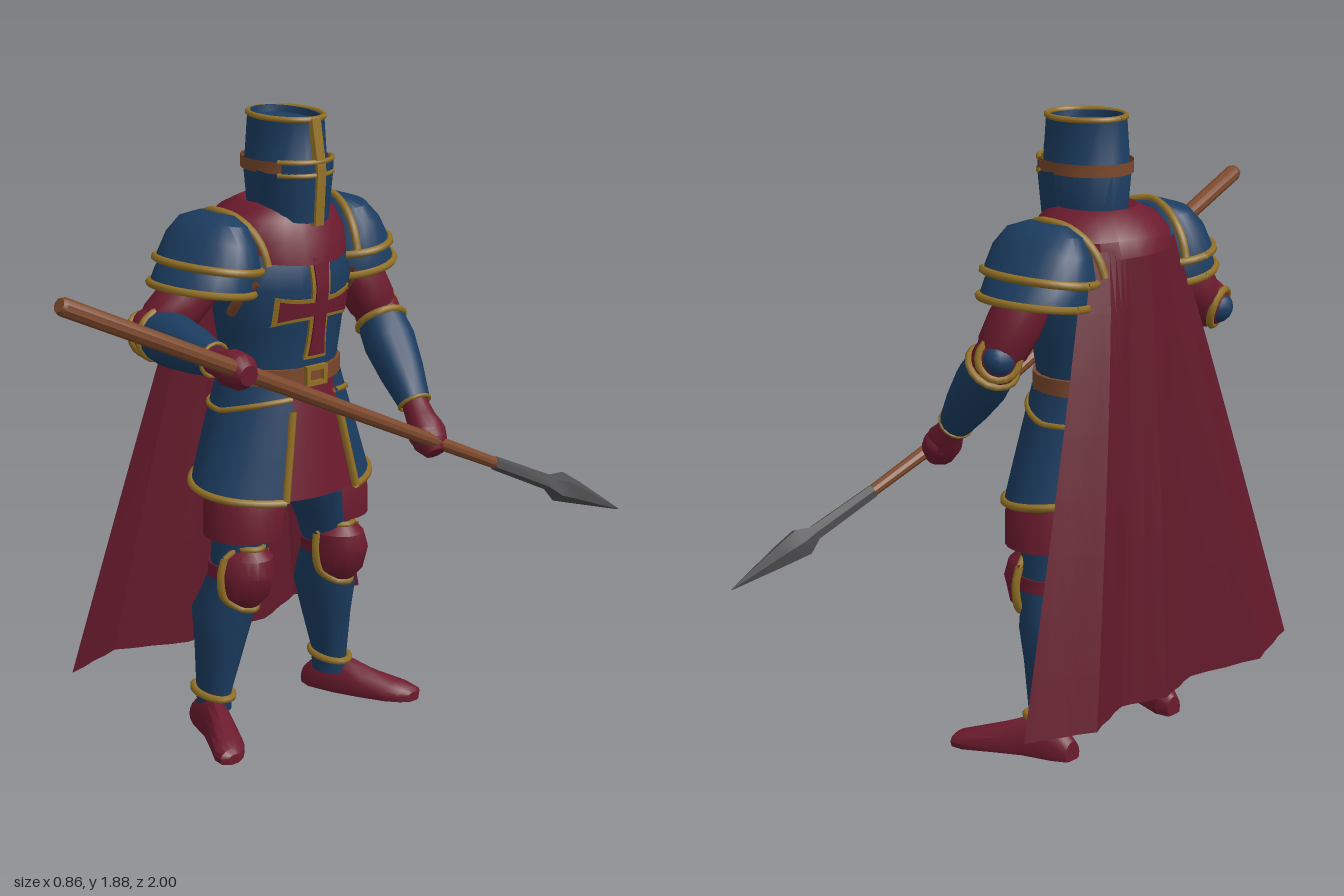
import * as THREE from 'three';
import { toCreasedNormals } from 'three/addons/utils/BufferGeometryUtils.js';

const mat = (name, color) => {
  const m = new THREE.MeshStandardMaterial({ color, side: THREE.DoubleSide });
  m.name = name;
  return m;
};

export function createModel() {
  const blue = mat('blue plate', 0x1b3c60), red = mat('red cloth', 0x6c1b2e), capeRed = mat('dark red cape', 0x641a2b);
  const gold = mat('gold trim', 0x927025), brown = mat('leather and wood', 0x7c482b), steel = mat('steel', 0x4e4e50);
  const V = (x, y, z) => new THREE.Vector3(x, y, z);
  const lerp = THREE.MathUtils.lerp;

  const add = (parent, name, geo, material) => {
    const m = new THREE.Mesh(geo, material);
    m.name = name;
    parent.add(m);
    return m;
  };

  // Surface through rows of points, with a soft crease
  function skin(rows, crease = 0.6) {
    const n = rows[0].length, pos = [], idx = [];
    rows.forEach(r => r.forEach(p => pos.push(p.x, p.y, p.z)));
    for (let j = 0; j < rows.length - 1; j++) for (let i = 0; i < n - 1; i++) {
      const a = j * n + i, b = a + 1, c = a + n, d = c + 1;
      idx.push(a, b, d, a, d, c);
    }
    const g = new THREE.BufferGeometry();
    g.setAttribute('position', new THREE.Float32BufferAttribute(pos, 3));
    g.setIndex(idx);
    return toCreasedNormals(g, crease);
  }
  const center = row => {
    const c = V(0, 0, 0);
    row.slice(1).forEach(p => c.add(p));
    c.divideScalar(row.length - 1);
    return row.map(() => c);
  };
  const capped = rows => [center(rows[0]), ...rows, center(rows[rows.length - 1])];

  // Elliptical ring [y, cx, cz, rx, rz]; angle 0 is the front, tilt lowers it towards the front
  const ring = ([y, cx, cz, rx, rz], a0 = -Math.PI, a1 = Math.PI, n = 24, tilt = 0, grow = 0) =>
    Array.from({ length: n + 1 }, (_, i) => {
      const a = lerp(a0, a1, i / n), z = (rz + grow) * Math.cos(a);
      return V(cx + (rx + grow) * Math.sin(a), y - tilt * z, cz + z);
    });
  const loft = (secs, tilt = 0) => skin(capped(secs.map(s => ring(s, -Math.PI, Math.PI, 20, tilt))));
  const trim = (parent, name, pts, r = 0.012, material = gold) =>
    add(parent, name, new THREE.TubeGeometry(new THREE.CatmullRomCurve3(pts, false, 'centripetal'), pts.length * 2, r, 6), material);

  // Round limb through points [x, y, z, radius]
  function limb(pts, sides = 14) {
    const p = pts.map(q => V(q[0], q[1], q[2]));
    const dir = p[p.length - 1].clone().sub(p[0]).normalize();
    const ref = Math.abs(dir.z) > 0.8 ? V(0, 1, 0) : V(0, 0, 1);
    const rows = p.map((c, i) => {
      const t = p[Math.min(i + 1, p.length - 1)].clone().sub(p[Math.max(i - 1, 0)]).normalize();
      const u = t.clone().cross(ref).normalize(), w = t.clone().cross(u);
      return Array.from({ length: sides + 1 }, (_, k) => {
        const a = k / sides * Math.PI * 2;
        return c.clone().addScaledVector(u, pts[i][3] * Math.cos(a)).addScaledVector(w, pts[i][3] * Math.sin(a));
      });
    });
    return skin(capped(rows));
  }
  function ball(parent, name, p, s, material) {
    const m = add(parent, name, new THREE.SphereGeometry(1, 14, 10), material);
    m.position.set(...p);
    m.scale.set(...s);
  }

  const root = new THREE.Group(), knight = new THREE.Group(), body = new THREE.Group();
  root.name = 'knight';
  knight.name = 'figure';
  knight.rotation.y = Math.PI / 2;
  body.name = 'body';
  body.position.x = 0.04;
  root.add(knight);
  knight.add(body);

  // Torso
  const torso = [[1.06, 0, -0.09, 0.19, 0.16], [1.14, 0, -0.09, 0.185, 0.157], [1.25, 0, -0.09, 0.2, 0.172],
    [1.38, 0, -0.085, 0.225, 0.185], [1.48, 0, -0.09, 0.21, 0.178], [1.57, 0, -0.1, 0.14, 0.13]];
  add(body, 'chestPlate', loft(torso), blue);
  const chestZ = (x, y) => {
    let i = 0;
    while (i < torso.length - 2 && torso[i + 1][0] < y) i++;
    const a = torso[i], b = torso[i + 1], t = (y - a[0]) / (b[0] - a[0]);
    const [cz, rx, rz] = [2, 3, 4].map(k => lerp(a[k], b[k], t));
    return cz + rz * Math.sqrt(Math.max(0, 1 - (x / rx) ** 2));
  };

  // Flared cross on the chest with a gold border; its edges turn back into the plate
  const bar = (len0, len1, w, flare, upright, lift) => skin(Array.from({ length: 13 }, (_, j) => {
    const t = lerp(len0, len1, j / 12), mid = upright ? 1.32 : 0;
    const half = w + flare * (Math.abs(t - mid) / 0.14) ** 3;
    return Array.from({ length: 9 }, (_, i) => {
      const s = lerp(-half, half, THREE.MathUtils.clamp((i - 1) / 6, 0, 1));
      const x = upright ? s : t, y = upright ? t : 1.318 - s;
      return V(x, y, chestZ(x, y) + (i % 8 ? lift : -0.01));
    });
  }));
  for (const [name, e, lift, m] of [['crossBorder', 0.011, 0.006, gold], ['cross', 0, 0.011, red]]) {
    add(body, name + 'Upright', bar(1.175 - e, 1.47, 0.022 + e, 0.007, true, lift), m);
    add(body, name + 'Arms', bar(-0.132 - e, 0.132 + e, 0.02 + e, 0.014, false, lift), m);
  }

  // Belt, buckle and skirt
  add(body, 'belt', loft([[1.09, 0, -0.09, 0.197, 0.166], [1.138, 0, -0.09, 0.197, 0.166]]), brown);
  const rect = (w, h) => [[-w, -h], [w, -h], [w, h], [-w, h]].map(p => new THREE.Vector2(...p));
  const buckle = new THREE.Shape(rect(0.04, 0.03));
  buckle.holes.push(new THREE.Path(rect(0.025, 0.016)));
  add(body, 'buckle', new THREE.ExtrudeGeometry(buckle, { depth: 0.015, bevelEnabled: false }), gold).position.set(0, 1.113, 0.07);

  const skirt = [[0.775, 0, -0.08, 0.3, 0.2], [0.9, 0, -0.085, 0.258, 0.187], [1.02, 0, -0.09, 0.215, 0.175], [1.09, 0, -0.09, 0.192, 0.162]];
  const tilts = [0.125, 0.08, 0.03, 0], gaps = [0.47, 0.44, 0.41, 0.4];
  const panels = skirt.map((s, i) => ring(s, gaps[i], 2 * Math.PI - gaps[i], 28, tilts[i], 0.006));
  add(body, 'skirt', skin(panels), blue);
  add(body, 'tabard', skin(skirt.map((s, i) => ring(s, -0.55, 0.55, 10, tilts[i], -0.004))), red);
  trim(body, 'skirtHem', panels[0]);
  for (const k of [0, 28]) trim(body, 'skirtEdge', panels.slice(0, 3).map(r => r[k]));
  // The upper band rises only towards the front
  const band = ring([1.01, 0, -0.09, 0.225, 0.183], 0.41, 2 * Math.PI - 0.41, 28);
  band.forEach(p => {
    const rise = 0.24 * Math.max(0, p.z + 0.09), k = 1 - rise * 1.4;
    p.set(p.x * k, p.y + rise, -0.09 + (p.z + 0.09) * k);
  });
  trim(body, 'skirtBand', band, 0.009);

  // Mantle round the neck
  add(body, 'mantle', skin([[1.478, 0, -0.105, 0.205, 0.21, 0.13], [1.535, 0, -0.105, 0.21, 0.197, 0.09], [1.585, 0, -0.1, 0.18, 0.165, 0.05],
    [1.62, 0, -0.09, 0.115, 0.125, 0], [1.6, 0, -0.08, 0.07, 0.09, 0]].map(s => ring(s, -Math.PI, Math.PI, 24, s[5]))), red);

  // Cape: straight top fanning out into deep folds
  const hem = [[-0.6, -0.345], [-0.38, -0.425], [-0.15, -0.345], [0.01, -0.39], [0.16, -0.345], [0.36, -0.43], [0.57, -0.345]];
  const cape = Array.from({ length: 9 }, (_, j) => Array.from({ length: 25 }, (_, i) => {
    const u = i / 24, k = Math.min(5, Math.floor(u * 6)), f = u * 6 - k, v = 1 - j / 8, s = 2 * u - 1;
    const x1 = lerp(hem[k][0], hem[k + 1][0], f), z1 = lerp(hem[k][1], hem[k + 1][1], f);
    return V(lerp(0.195 * s, x1, v), lerp(1.525, 0.195 - 0.01 * Math.cos(s * 3), v),
      lerp(-0.298 + 0.075 * s * s, z1, v ** 0.8) + 0.004 * (i % 2) * v);
  }));
  add(body, 'cape', skin(cape, 0.15), capeRed);

  // Helmet with a recessed crown
  const helm = [[1.585, 0, -0.055, 0.098, 0.135], [1.72, 0, -0.055, 0.116, 0.143], [1.735, 0, -0.057, 0.109, 0.135],
    [1.87, 0, -0.057, 0.1, 0.126], [1.87, 0, -0.057, 0.088, 0.113], [1.85, 0, -0.057, 0.085, 0.11]];
  add(body, 'helmet', loft(helm, 0.06), blue);
  add(body, 'faceGuard', skin(helm.slice(0, 2).map(s => ring(s, -1.5, 1.5, 16, 0.12, 0.008))), blue);
  trim(body, 'helmetRim', ring([1.868, 0, -0.057, 0.098, 0.124], -Math.PI, Math.PI, 24, 0.02), 0.009);
  add(body, 'helmetBand', skin([1.712, 1.747].map(y => ring([y, 0, -0.056, 0.122, 0.148], -Math.PI, Math.PI, 24))), brown);
  for (const y of [1.708, 1.746]) trim(body, 'eyeSlitTrim', ring([y, 0, -0.056, 0.12, 0.149], -1, 1, 12), 0.008);
  add(body, 'eyeSlit', skin([1.712, 1.742].map(y => ring([y, 0, -0.056, 0.125, 0.151], -0.9, 0.9, 12))), blue);
  add(body, 'helmetRidge', skin([[1.56, 0.092], [1.72, 0.102], [1.75, 0.098], [1.87, 0.076]].map(([y, z]) =>
    [V(-0.02, y, z - 0.015), V(-0.016, y, z), V(0.016, y, z), V(0.02, y, z - 0.015)])), gold);

  // Shoulders and legs, mirrored
  function side(sign) {
    const g = new THREE.Group();
    g.name = sign > 0 ? 'leftSide' : 'rightSide';
    g.scale.x = sign;
    body.add(g);

    // Two overlapping shoulder plates, rising outwards
    const plate = (secs, slope) => secs.map(s => {
      const r = ring(s);
      r.forEach(p => { p.y += slope * (p.x - s[1]); });
      return r;
    });
    const upper = plate([[1.452, 0.252, -0.11, 0.133, 0.18], [1.525, 0.24, -0.11, 0.104, 0.164], [1.575, 0.23, -0.11, 0.07, 0.13], [1.598, 0.215, -0.11, 0.03, 0.07]], 0.15);
    const lower = plate([[1.385, 0.275, -0.11, 0.145, 0.162], [1.43, 0.263, -0.11, 0.132, 0.16], [1.48, 0.25, -0.11, 0.1, 0.14]], 0.15);
    add(g, 'shoulderPlate', skin([...upper, center(upper[3])]), blue);
    add(g, 'lowerShoulderPlate', skin(lower), blue);
    trim(g, 'shoulderTrim', upper[0]);
    trim(g, 'lowerShoulderTrim', lower[0]);
    trim(g, 'shoulderCollar', Array.from({ length: 11 }, (_, i) => {
      const a = lerp(-1.4, 1.4, i / 10);
      return V(0.217 - 0.045 * Math.abs(Math.sin(a)), 1.43 + 0.172 * Math.cos(a), -0.11 + 0.178 * Math.sin(a));
    }));
    trim(g, 'armStrap', [V(0.218, 1.31, -0.05), V(0.215, 1.36, -0.01), V(0.19, 1.41, 0.03)], 0.015, brown);

    add(g, 'leg', loft([[0.07, 0.235, -0.12, 0.045, 0.062], [0.13, 0.235, -0.12, 0.043, 0.067], [0.28, 0.215, -0.115, 0.07, 0.088],
      [0.38, 0.205, -0.11, 0.088, 0.105], [0.45, 0.19, -0.09, 0.08, 0.095], [0.52, 0.185, -0.07, 0.075, 0.085],
      [0.6, 0.17, -0.07, 0.083, 0.092], [0.72, 0.14, -0.065, 0.11, 0.125], [0.84, 0.1, -0.08, 0.1, 0.12]]), blue);
    const thigh = [[0.63, 0.168, -0.055, 0.122, 0.125], [0.72, 0.158, -0.055, 0.126, 0.132], [0.8, 0.14, -0.065, 0.115, 0.12]];
    add(g, 'thighGuard', skin(thigh.map(s => ring(s, -0.35, Math.PI, 14))), red);

    // Knee guard with a pointed gold edge
    const knee = [[0.41, 0.19, -0.035, 0.03, 0.05], [0.45, 0.19, -0.035, 0.075, 0.085], [0.52, 0.188, -0.04, 0.088, 0.113],
      [0.57, 0.183, -0.04, 0.078, 0.103], [0.6, 0.18, -0.04, 0.045, 0.07]].map(s => ring(s, -1.5, 1.5, 10));
    add(g, 'kneeGuard', skin(knee), red);
    trim(g, 'kneeTrim', [knee[3][0], knee[2][0], knee[1][0], ...knee[0].slice(2, 9), knee[1][10], knee[2][10], knee[3][10]], 0.013);
    trim(g, 'kneeTopTrim', [knee[3][0], ...knee[4].slice(1, 10), knee[3][10]], 0.01);
    add(g, 'kneeStrap', loft([[0.5, 0.187, -0.07, 0.081, 0.092], [0.54, 0.183, -0.07, 0.081, 0.092]]), red);

    // Shoe pointing outwards
    add(g, 'shoe', skin(capped([[-0.212, 0.228, 0.03, 0.06], [-0.17, 0.235, 0.047, 0.1], [-0.08, 0.262, 0.05, 0.118],
      [0, 0.3, 0.056, 0.085], [0.08, 0.343, 0.06, 0.058], [0.118, 0.36, 0.046, 0.045], [0.133, 0.365, 0.022, 0.03]].map(([z, x, w, h]) =>
      Array.from({ length: 15 }, (_, i) => {
        const a = i / 14 * Math.PI * 2, sn = Math.sin(a);
        return V(x + w * Math.cos(a), sn < 0 ? 0.02 + 0.02 * Math.max(-1, sn * 2) : 0.02 + (h - 0.02) * sn, z);
      })))), red);
    trim(g, 'ankleTrim', ring([0.122, 0.238, -0.12, 0.048, 0.073], -Math.PI, Math.PI, 16, 0.1));
  }
  [1, -1].forEach(side);

  // Arms: sleeve, elbow guard, forearm plate, gauntlet
  function arm(name, shoulder, elbow, hand) {
    const g = new THREE.Group();
    g.name = name;
    knight.add(g);
    const S = V(...shoulder), E = V(...elbow), H = V(...hand);
    const at = (a, b, t, r) => [...a.clone().lerp(b, t).toArray(), r];
    add(g, 'sleeve', limb([at(S, E, 0, 0.06), at(S, E, 0.3, 0.075), at(S, E, 0.55, 0.08), at(S, E, 0.85, 0.075), at(S, E, 1.05, 0.055)]), red);
    ball(g, 'elbowGuard', elbow, [0.072, 0.075, 0.072], red);
    add(g, 'forearm', limb([at(E, H, 0.08, 0.074), at(E, H, 0.25, 0.08), at(E, H, 0.5, 0.068), at(E, H, 0.74, 0.05)]), blue);
    const hoop = (label, p, dir, r, tube) => {
      const c = add(g, label, new THREE.TorusGeometry(r, tube, 6, 16), gold);
      c.position.copy(p);
      c.quaternion.setFromUnitVectors(V(0, 0, 1), dir);
    };
    const along = H.clone().sub(E).normalize();
    hoop('forearmTrim', E.clone().lerp(H, 0.07), along, 0.073, 0.012);
    hoop('wristTrim', E.clone().lerp(H, 0.75), along, 0.048, 0.006);
    const back = E.clone().sub(S.clone().lerp(H, 0.5)).normalize();
    hoop('elbowTrim', E.clone().addScaledVector(back, 0.042), back, 0.058, 0.012);
    ball(g, 'elbowPlate', E.clone().addScaledVector(back, 0.035).toArray(), [0.05, 0.05, 0.05], blue);
    add(g, 'gauntlet', limb([at(E, H, 0.72, 0.038), at(E, H, 0.88, 0.045), at(E, H, 0.96, 0.055), at(E, H, 1.08, 0.052), at(E, H, 1.16, 0.03)]), red);
    ball(g, 'fist', H.toArray(), [0.062, 0.05, 0.055], red);
  }
  arm('rightArm', [-0.19, 1.44, -0.11], [-0.37, 1.265, -0.165], [-0.39, 1.235, 0.225]);
  arm('leftArm', [0.3, 1.45, -0.11], [0.405, 1.22, -0.05], [0.355, 0.905, 0.225]);

  // Spear
  add(knight, 'spearShaft', limb([[-0.995, 1.518, 0.24, 0.02], [-0.985, 1.513, 0.24, 0.026], [-0.39, 1.236, 0.25, 0.024],
    [0.36, 0.885, 0.27, 0.02], [0.6, 0.772, 0.315, 0.017]], 10), brown);
  add(knight, 'spearHead', limb([[0.56, 0.79, 0.307, 0.021], [0.75, 0.7, 0.35, 0.024], [0.79, 0.68, 0.36, 0.047],
    [0.85, 0.652, 0.378, 0.036], [1, 0.577, 0.425, 0.002]], 6), steel);

  return root;
}
